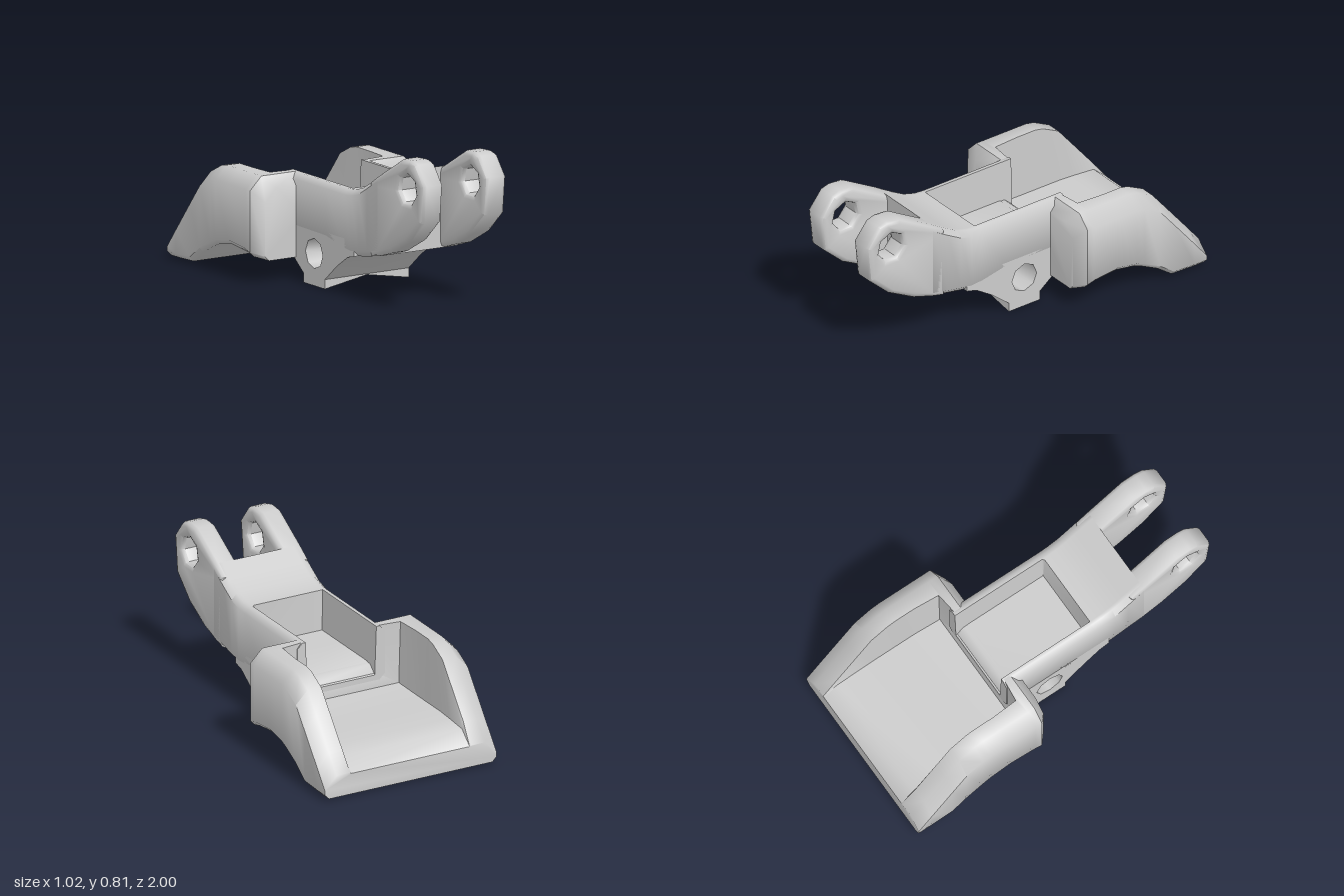
import * as THREE from 'three';
import { toCreasedNormals } from 'three/addons/utils/BufferGeometryUtils.js';

const material = new THREE.MeshStandardMaterial({ color: 0xcccccc, side: THREE.DoubleSide });

function addMesh(group, name, geometry, crease = 0.85) {
  const mesh = new THREE.Mesh(toCreasedNormals(geometry, crease), material);
  mesh.name = name;
  group.add(mesh);
  return mesh;
}

// Chamfered channel cross-section, mirrored about x = 0, counter-clockwise.
function channelSection({ half, bottom, top, inner, floor }, topCut, bottomCut) {
  const right = [
    [half - bottomCut, bottom], [half, bottom + bottomCut],
    [half, top - topCut], [half - topCut, top],
    [inner + 0.01, top], [inner, floor],
  ];
  const left = right.map(([x, y]) => [-x, y]).reverse();
  return [...right, ...left];
}

// Skin sections running from front to back and close both ends.
function loft(stations, topCut, bottomCut) {
  const rings = stations.map((s) => channelSection(s, topCut, bottomCut));
  const n = rings[0].length;
  const positions = [], index = [];
  rings.forEach((ring, s) => ring.forEach(([x, y]) => positions.push(x, y, stations[s].z)));
  for (let s = 0; s < rings.length - 1; s++) {
    for (let i = 0; i < n; i++) {
      const a = s * n + i, b = s * n + (i + 1) % n;
      index.push(a, a + n, b, b, a + n, b + n);
    }
  }
  const cap = (s, flip) => {
    const contour = rings[s].map(([x, y]) => new THREE.Vector2(x, y));
    for (const [a, b, c] of THREE.ShapeUtils.triangulateShape(contour, [])) {
      const o = s * n;
      index.push(o + a, o + (flip ? c : b), o + (flip ? b : c));
    }
  };
  cap(0, false);
  cap(rings.length - 1, true);
  const geometry = new THREE.BufferGeometry();
  geometry.setAttribute('position', new THREE.Float32BufferAttribute(positions, 3));
  geometry.setIndex(index);
  return geometry;
}

// Side plate: outline in (z, y) with one round hole, spanning x0..x1.
function sidePlate(outline, hole, sides, x0, x1, bevel) {
  const shape = new THREE.Shape(outline.map(([z, y]) => new THREE.Vector2(z, y)));
  const ring = [];
  for (let i = 0; i < sides; i++) {
    const a = (i / sides) * Math.PI * 2 + Math.PI / 2;
    ring.push(new THREE.Vector2(hole.z + hole.r * Math.cos(a), hole.y + hole.r * Math.sin(a)));
  }
  shape.holes.push(new THREE.Path(ring));
  const geometry = new THREE.ExtrudeGeometry(shape, {
    depth: x1 - x0 - 2 * bevel, bevelEnabled: bevel > 0, bevelSegments: 2,
    bevelSize: bevel, bevelThickness: bevel, bevelOffset: -bevel,
  });
  geometry.rotateY(-Math.PI / 2);
  geometry.translate(x1 - bevel, 0, 0);
  return geometry;
}

export function createModel() {
  const model = new THREE.Group();
  model.name = 'forkedTrayBracket';

  // Middle body with its sunken pocket: z, bottom, top, pocket floor
  const body = [
    [0.58, 0.26, 0.69, 0.69], [0.48, 0.24, 0.63, 0.63], [0.4, 0.225, 0.585, 0.585],
    [0.33, 0.215, 0.565, 0.565], [0.275, 0.22, 0.56, 0.56], [0.265, 0.22, 0.56, 0.34],
    [0.1, 0.255, 0.56, 0.34], [-0.2, 0.26, 0.56, 0.34], [-0.28, 0.26, 0.56, 0.29],
  ].map(([z, bottom, top, floor]) => ({ z, bottom, top, floor, half: 0.26, inner: 0.2 }));
  addMesh(model, 'body', loft(body, 0.03, 0.03));

  // Wide rear tray: z, half width, bottom, top, inner half width, floor
  const tray = [
    [-0.18, 0.45, 0.12, 0.5, 0.21, 0.335], [-0.23, 0.51, 0.14, 0.56, 0.21, 0.335],
    [-0.27, 0.51, 0.15, 0.56, 0.21, 0.3], [-0.285, 0.51, 0.155, 0.56, 0.34, 0.22],
    [-0.43, 0.51, 0.17, 0.56, 0.35, 0.21], [-0.55, 0.51, 0.15, 0.56, 0.35, 0.21],
    [-0.6, 0.51, 0.13, 0.55, 0.35, 0.21], [-0.7, 0.51, 0.08, 0.5, 0.35, 0.21],
    [-0.79, 0.51, 0.015, 0.39, 0.35, 0.205], [-0.92, 0.51, 0.01, 0.23, 0.35, 0.195],
    [-1, 0.51, 0.01, 0.13, 0.35, 0.125],
  ].map(([z, half, bottom, top, inner, floor]) => ({ z, half, bottom, top, inner, floor }));
  addMesh(model, 'rearTray', loft(tray, 0.07, 0.025));

  // Fork arms with pin holes at their tips
  const armOutline = [
    [0.5, 0.245], [0.58, 0.262], [0.7, 0.3], [0.85, 0.38], [0.98, 0.5], [1, 0.7],
    [0.92, 0.8], [0.87, 0.815], [0.79, 0.81], [0.58, 0.69], [0.5, 0.64],
  ];
  // Lower lug with a cross hole, one half on each side
  const lugOutline = [
    [0.36, 0.3], [0.36, 0.22], [0.3, 0.205], [0.2, 0.14], [0.09, 0.05], [0.09, 0],
    [-0.11, 0], [-0.11, 0.05], [-0.2, 0.12], [-0.2, 0.3],
  ].reverse();
  const arm = sidePlate(armOutline, { z: 0.845, y: 0.66, r: 0.08 }, 7, 0.13, 0.26, 0.025);
  const lug = sidePlate(lugOutline, { z: -0.01, y: 0.17, r: 0.08 }, 8, 0, 0.26, 0);

  // Raise the foot of the lug towards the middle
  const p = lug.attributes.position;
  for (let i = 0; i < p.count; i++) {
    if (p.getY(i) < 0.045 && p.getX(i) < 0.1) p.setY(i, 0.045);
  }

  for (const [side, sign] of [['left', 1], ['right', -1]]) {
    const half = new THREE.Group();
    half.name = side + 'Side';
    half.scale.x = sign;
    addMesh(half, side + 'ForkArm', arm);
    addMesh(half, side + 'Lug', lug);
    model.add(half);
  }
  return model;
}
